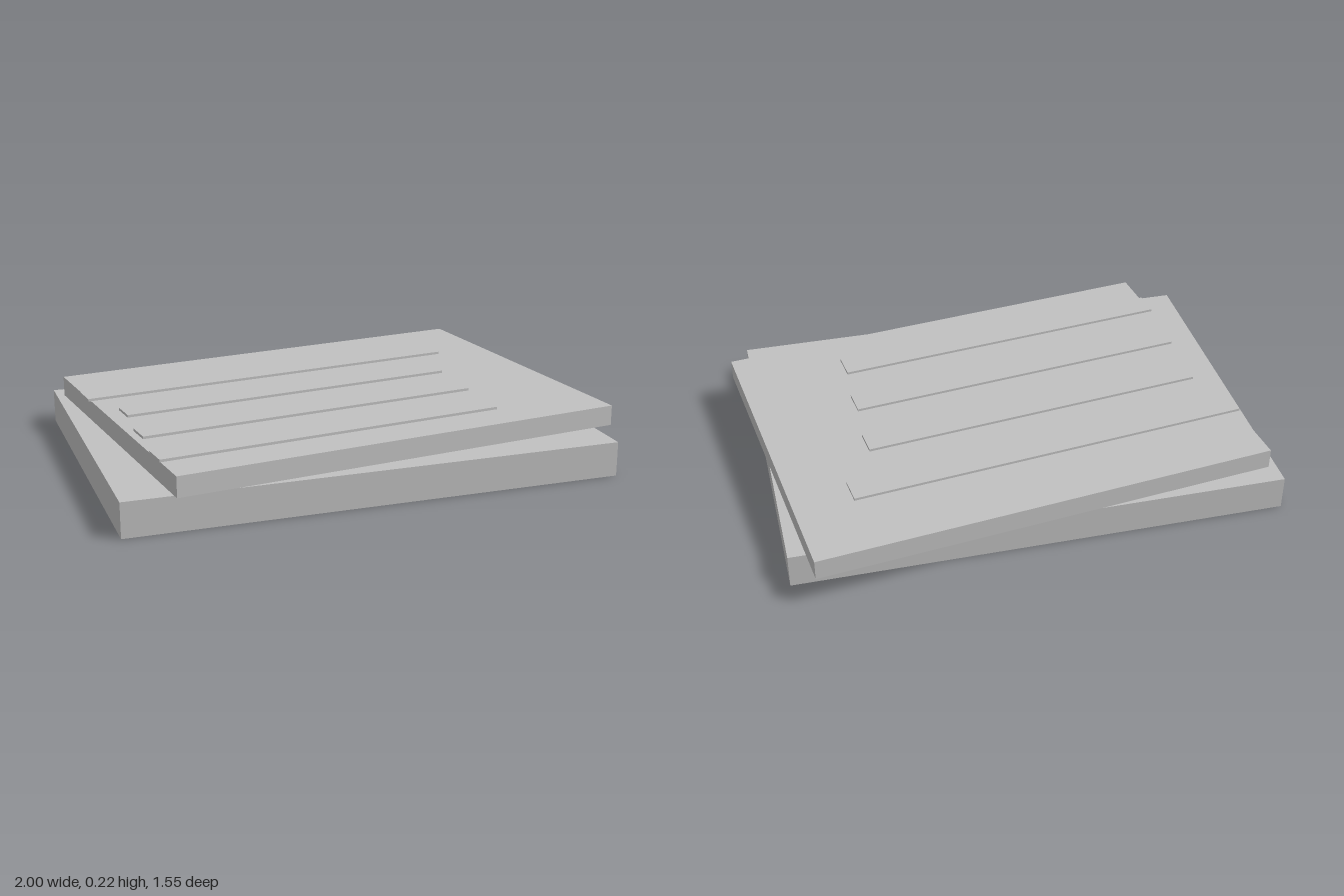
import * as THREE from 'three';

export function createModel() {
  const model = new THREE.Group();
  model.name = 'stackedSlabs';
  const grey = new THREE.MeshStandardMaterial({ color: 0xc0c0c0 });
  grey.name = 'light grey';

  // Box spanning heights y0..y1, centred at x, z and turned about the vertical
  function slab(name, width, depth, y0, y1, x, z, turn = 0) {
    const mesh = new THREE.Mesh(new THREE.BoxGeometry(width, y1 - y0, depth), grey);
    mesh.name = name;
    mesh.position.set(x, (y0 + y1) / 2, z);
    mesh.rotation.y = turn;
    model.add(mesh);
  }

  const turn = THREE.MathUtils.degToRad(7);

  // Thick lower slab, and a thinner slab lying askew on it
  slab('lowerSlab', 1.92, 1.385, 0, 0.135, -0.04, 0.052);
  slab('upperSlab', 1.818, 1.335, 0.135, 0.215, 0.015, -0.002, turn);

  // Raised strips: the rear one is longer and reaches past the edge
  const strips = [[1.602, -0.325], [1.39, -0.058], [1.39, 0.212], [1.39, 0.478]];
  strips.forEach(([length, z], i) => {
    slab(`strip${i + 1}`, length, 0.105, 0.215, 0.225, -0.145, z, turn);
  });

  return model;
}
